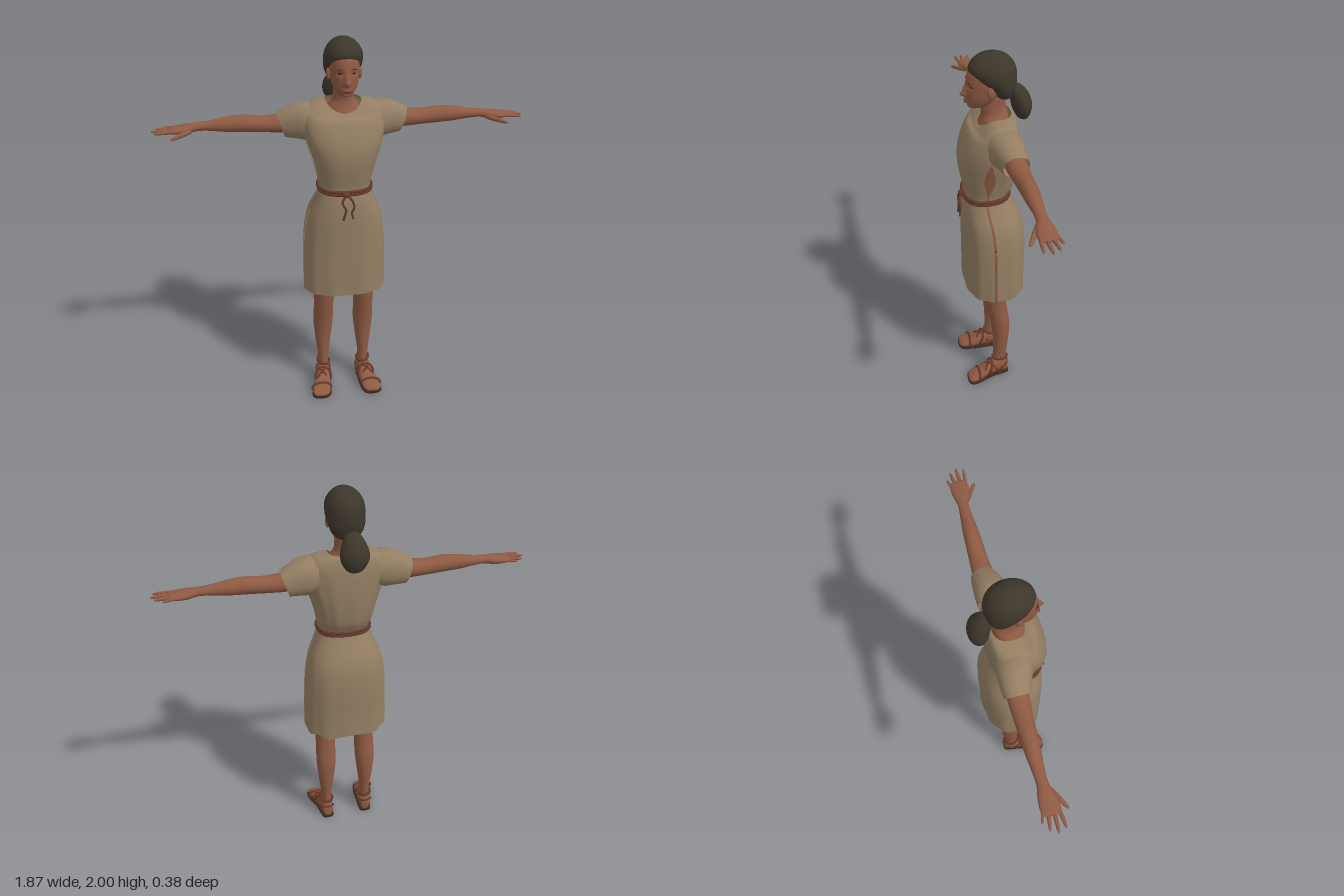
import * as THREE from 'three';

const mat = (name, color, double) => {
  const m = new THREE.MeshStandardMaterial({ color });
  m.name = name;
  if (double) m.side = THREE.DoubleSide;
  return m;
};

// Smooth interpolation through table rows
function sampleRow(rows, u) {
  const i = Math.min(Math.floor(u), rows.length - 2), f = u - i;
  const at = k => rows[Math.max(0, Math.min(rows.length - 1, k))];
  return rows[i].map((_, c) => {
    const a = at(i - 1)[c], b = at(i)[c], d = at(i + 1)[c], e = at(i + 2)[c];
    return b + 0.5 * f * (d - a + f * (2 * a - 5 * b + 4 * d - e + f * (3 * (b - d) + e - a)));
  });
}

// Loft of rounded sections; each row is [position on axis, min a, max a, min b, max b]
// axis y: a = x, b = z;  axis x: a = y, b = z;  axis z: a = x, b = y
function loft(rows, { axis = 'y', n = 24, sub = 4, p = 2, range = null, cap = true, warp = null } = {}) {
  const pos = [], idx = [], steps = (rows.length - 1) * sub;
  const cols = range ? n + 1 : n;
  const se = v => Math.sign(v) * Math.abs(v) ** (2 / p);
  const place = (t, a, b) => axis === 'y' ? new THREE.Vector3(a, t, b)
    : axis === 'x' ? new THREE.Vector3(t, a, b) : new THREE.Vector3(a, b, t);
  const flip = axis === 'y' ? 1 : -1;
  for (let i = 0; i <= steps; i++) {
    const [t, a0, a1, b0, b1] = sampleRow(rows, i / sub);
    const [s, e] = range ? range(t) : [0, Math.PI * 2];
    for (let j = 0; j < cols; j++) {
      const q = s + (e - s) * j / n;
      const v = place(t, (a0 + a1) / 2 + (a1 - a0) / 2 * se(Math.cos(q)),
        (b0 + b1) / 2 + flip * (b1 - b0) / 2 * se(Math.sin(q)));
      if (warp) warp(v, q, t);
      pos.push(v.x, v.y, v.z);
    }
  }
  for (let i = 0; i < steps; i++) for (let j = 0; j < n; j++) {
    const k = (j + 1) % cols, a = i * cols, b = a + cols;
    idx.push(a + j, b + j, a + k, b + j, b + k, a + k);
  }
  if (cap) [0, steps].forEach(i => {
    const r = rows[i ? rows.length - 1 : 0], c = pos.length / 3;
    pos.push(...place(r[0], (r[1] + r[2]) / 2, (r[3] + r[4]) / 2).toArray());
    for (let j = 0; j < n; j++) {
      const a = i * cols + j, b = i * cols + (j + 1) % cols;
      if (i) idx.push(a, c, b); else idx.push(b, c, a);
    }
  });
  const g = new THREE.BufferGeometry();
  g.setAttribute('position', new THREE.Float32BufferAttribute(pos, 3));
  g.setIndex(idx);
  g.computeVertexNormals();
  return g;
}

const sym = (y, rx, back, front) => [y, -rx, rx, back, front];

function mirrored(geo) {
  const g = geo.clone().scale(-1, 1, 1), ix = g.index.array;
  for (let i = 0; i < ix.length; i += 3) [ix[i], ix[i + 1]] = [ix[i + 1], ix[i]];
  return g;
}

const blob = (x, y, z, rx, ry, rz) => new THREE.SphereGeometry(1, 20, 14).scale(rx, ry, rz).translate(x, y, z);
const cord = (pts, r, closed = false) => new THREE.TubeGeometry(
  new THREE.CatmullRomCurve3(pts.map(q => new THREE.Vector3(...q)), closed), closed ? 48 : 20, r, 6, closed);
const loop = (f, r) => cord(Array.from({ length: 20 }, (_, i) => f(Math.cos(i * Math.PI / 10), Math.sin(i * Math.PI / 10))), r, true);

export function createModel() {
  const root = new THREE.Group();
  const skin = mat('skin', 0x8f5a43), cloth = mat('cloth', 0x947e63, true), hair = mat('hair', 0x3d362b);
  const leather = mat('leather', 0x67392a), sole = mat('sole', 0x3f281d);
  const lip = mat('lips', 0x7a4238), eye = mat('eye', 0x2a1c16);
  const add = (name, geo, m) => {
    const mesh = new THREE.Mesh(geo, m);
    mesh.name = name;
    root.add(mesh);
  };
  const pair = (name, geo, m) => {
    add(name + 'Left', geo, m);
    add(name + 'Right', mirrored(geo), m);
  };

  // Tunic: front and back panels with open side slits
  const tunic = [
    sym(0.66, 0.22, -0.155, 0.165), sym(0.8, 0.219, -0.155, 0.165), sym(0.98, 0.211, -0.157, 0.165),
    sym(1.1, 0.19, -0.14, 0.165), sym(1.19, 0.152, -0.098, 0.16), sym(1.255, 0.13, -0.07, 0.15),
    sym(1.32, 0.143, -0.1, 0.16), sym(1.4, 0.163, -0.114, 0.174), sym(1.48, 0.186, -0.12, 0.173),
    sym(1.55, 0.203, -0.12, 0.152), sym(1.61, 0.208, -0.117, 0.122), sym(1.65, 0.197, -0.11, 0.1),
    sym(1.68, 0.155, -0.1, 0.085), sym(1.692, 0.09, -0.085, 0.07)];
  const drape = (v, q, t) => {
    const low = Math.max(0, (1.24 - t) / 0.58), front = Math.max(0, Math.sin(q));
    const ripple = 1 + low * 0.014 * Math.sin(11 * q) + (t > 1.28 && t < 1.6 && q > Math.PI ? 0.014 * Math.sin(14 * q) : 0);
    v.x *= ripple;
    v.z *= ripple;
    v.y -= 0.05 * front ** 2 * THREE.MathUtils.smoothstep(t, 1.6, 1.692); // scooped neckline
    if (t < 0.7 && q > Math.PI) v.y += 0.008 * Math.sin(7 * q);
  };
  const gap = y => y > 1.5 ? 0 : y > 1.3 ? 0.11 * Math.sin((y - 1.3) / 0.2 * Math.PI) + 0.03 : 0.035;
  const panel = { n: 44, p: 2.5, cap: false, warp: drape };
  add('tunicFront', loft(tunic, { ...panel, range: y => [0.12 + gap(y), Math.PI - 0.12 - gap(y)] }), cloth);
  add('tunicBack', loft(tunic, { ...panel, range: y => [Math.PI - 0.12 + gap(y), Math.PI * 2 + 0.12 - gap(y)] }), cloth);

  // Sleeves
  pair('sleeve', loft([
    [0.15, 1.5, 1.675, -0.105, 0.08], [0.2, 1.49, 1.678, -0.108, 0.065],
    [0.25, 1.495, 1.66, -0.106, 0.045], [0.31, 1.5, 1.628, -0.102, 0.022]],
  { axis: 'x', n: 28, p: 2.2, cap: false, warp: (v, q, t) => { v.x += (v.y - 1.57) * 0.3 * (t - 0.15) / 0.16; } }), cloth);

  // Body under the tunic
  add('torso', loft(tunic.filter(r => r[0] > 0.9 && r[0] < 1.6)
    .map(([y, , rx, b, f]) => sym(y, rx - 0.016, b + 0.018, f - 0.018)), { n: 32, p: 2.4 }), skin);
  add('neck', loft([
    sym(1.56, 0.12, -0.08, 0.1), sym(1.62, 0.1, -0.08, 0.086), sym(1.645, 0.089, -0.077, 0.072),
    sym(1.67, 0.076, -0.075, 0.063), sym(1.695, 0.056, -0.07, 0.058), sym(1.73, 0.049, -0.06, 0.06),
    sym(1.79, 0.05, -0.06, 0.06)]), skin);

  // Head with sculpted nose, eye sockets, mouth and cheeks
  const bump = (v, x, y, sx, sy) => Math.exp(-(((v.x - x) / sx) ** 2) - ((v.y - y) / sy) ** 2);
  const face = v => {
    if (v.z < 0.05) return;
    v.z += 0.026 * bump(v, 0, 1.803, 0.013, 0.014) + 0.014 * bump(v, 0, 1.828, 0.01, 0.022)
      + 0.009 * bump(v, 0, 1.766, 0.022, 0.012) - 0.005 * bump(v, 0, 1.752, 0.02, 0.006)
      - 0.009 * (bump(v, 0.031, 1.847, 0.016, 0.011) + bump(v, -0.031, 1.847, 0.016, 0.011));
  };
  add('head', loft([
    sym(1.732, 0.012, 0.07, 0.105), sym(1.737, 0.03, 0.04, 0.12), sym(1.755, 0.047, 0, 0.126),
    sym(1.785, 0.062, -0.03, 0.129), sym(1.825, 0.071, -0.06, 0.13), sym(1.87, 0.075, -0.08, 0.128),
    sym(1.91, 0.073, -0.08, 0.118), sym(1.945, 0.06, -0.07, 0.09), sym(1.97, 0.03, -0.03, 0.04)],
  { n: 72, sub: 8, warp: face }), skin);
  pair('ear', blob(0.077, 1.828, 0.028, 0.011, 0.029, 0.017), skin);
  pair('eye', blob(0.031, 1.847, 0.111, 0.012, 0.0045, 0.005), eye);
  pair('eyebrow', blob(0.032, 1.868, 0.118, 0.017, 0.0028, 0.005), hair);
  add('lips', blob(0, 1.766, 0.132, 0.021, 0.007, 0.0085), lip);

  // Hair and ponytail
  add('hair', loft([
    sym(1.768, 0.035, -0.075, -0.03), sym(1.79, 0.068, -0.095, 0), sym(1.83, 0.087, -0.108, 0.03),
    sym(1.87, 0.095, -0.113, 0.085), sym(1.91, 0.095, -0.11, 0.113), sym(1.94, 0.087, -0.1, 0.113),
    sym(1.97, 0.067, -0.077, 0.088), sym(1.99, 0.04, -0.045, 0.058), sym(2, 0.006, -0.002, 0.012)],
  { n: 40 }), hair);
  add('ponytail', loft([
    [1.636, -0.025, 0, -0.16, -0.145], [1.648, -0.052, 0.028, -0.178, -0.122], [1.69, -0.08, 0.054, -0.192, -0.1],
    [1.735, -0.083, 0.057, -0.19, -0.09], [1.78, -0.065, 0.042, -0.17, -0.082], [1.81, -0.045, 0.022, -0.142, -0.08],
    [1.822, -0.02, 0, -0.115, -0.09]], { n: 28 }), hair);

  // Arms and hands
  pair('arm', loft([
    [0.18, 1.53, 1.635, -0.085, 0.015], [0.3, 1.525, 1.62, -0.09, 0.014], [0.4, 1.53, 1.612, -0.086, 0.005],
    [0.5, 1.535, 1.621, -0.082, 0], [0.58, 1.54, 1.614, -0.078, -0.005], [0.66, 1.55, 1.6, -0.07, -0.012],
    [0.72, 1.552, 1.594, -0.066, -0.012], [0.77, 1.543, 1.59, -0.076, 0.004], [0.82, 1.546, 1.582, -0.08, 0.012],
    [0.85, 1.552, 1.577, -0.075, 0.008], [0.86, 1.56, 1.57, -0.06, 0]], { axis: 'x' }), skin);
  const finger = (x0, y0, z0, x1, y1, z1, r) => loft(
    [[0, 0.9], [0.35, 1], [0.7, 0.85], [0.93, 0.6], [1, 0.15]].map(([k, s]) => {
      const y = y0 + (y1 - y0) * k, z = z0 + (z1 - z0) * k;
      return [x0 + (x1 - x0) * k, y - r * s, y + r * s, z - r * s, z + r * s];
    }), { axis: 'x', n: 10, sub: 2 });
  [[-0.067, 0.882, -0.085, 0.008], [-0.046, 0.92, -0.06, 0.0095], [-0.022, 0.937, -0.026, 0.01], [0, 0.924, 0.01, 0.0095]]
    .forEach(([z0, x1, z1, r], i) => pair('finger' + (i + 1), finger(0.825, 1.565, z0, x1, 1.562, z1, r), skin));
  pair('thumb', finger(0.745, 1.56, -0.012, 0.845, 1.54, 0.045, 0.013), skin);

  // Legs and feet
  pair('leg', loft([
    [0.07, 0.086, 0.146, -0.055, 0.035], [0.13, 0.087, 0.143, -0.05, 0.026], [0.2, 0.083, 0.148, -0.055, 0.026],
    [0.3, 0.07, 0.16, -0.064, 0.028], [0.41, 0.058, 0.168, -0.067, 0.04], [0.52, 0.057, 0.165, -0.052, 0.06],
    [0.6, 0.05, 0.168, -0.045, 0.074], [0.7, 0.038, 0.176, -0.05, 0.087], [0.98, 0.005, 0.19, -0.1, 0.11]]), skin);
  const foot = [
    [-0.061, 0.1, 0.125, 0.02, 0.05], [-0.053, 0.088, 0.14, 0.008, 0.09], [-0.02, 0.083, 0.148, 0.008, 0.118],
    [0.03, 0.086, 0.156, 0.008, 0.108], [0.08, 0.086, 0.174, 0.008, 0.078], [0.12, 0.09, 0.189, 0.008, 0.056],
    [0.155, 0.097, 0.194, 0.008, 0.042], [0.175, 0.11, 0.184, 0.01, 0.032], [0.182, 0.13, 0.165, 0.016, 0.024]];
  pair('foot', loft(foot, { axis: 'z', p: 2.3 }), skin);
  pair('sandalSole', loft(foot.map(([z, a, b]) => [z * 1.02, a - 0.005, b + 0.005, 0, 0.015]), { axis: 'z', p: 5 }), sole);

  // Sandal straps
  pair('ankleStrap', loop((c, s) => [0.115 + 0.034 * c, 0.122 + 0.006 * c, -0.013 + 0.043 * s], 0.007), leather);
  pair('instepStrap', loop((c, s) => [0.125 + 0.044 * c, 0.055 + 0.048 * s, 0.055 - 0.02 * s], 0.007), leather);
  pair('toeStrap', loop((c, s) => [0.143 + 0.053 * c, 0.032 + 0.026 * s, 0.125 - 0.008 * s], 0.007), leather);
  pair('crossStrapOuter', cord([[0.09, 0.02, 0.1], [0.115, 0.08, 0.072], [0.14, 0.098, 0.045], [0.158, 0.05, 0.01]], 0.006), leather);
  pair('crossStrapInner', cord([[0.182, 0.02, 0.1], [0.15, 0.08, 0.075], [0.11, 0.1, 0.045], [0.083, 0.05, 0.01]], 0.006), leather);
  pair('heelStrap', cord([[0.15, 0.03, 0.01], [0.15, 0.07, -0.035], [0.114, 0.082, -0.058], [0.08, 0.07, -0.035], [0.08, 0.03, 0.01]], 0.006), leather);

  // Rope belt with knot and hanging ends
  const bend = v => Math.sign(v) * Math.abs(v) ** 0.8;
  [0.007, -0.007].forEach((dy, i) => add('beltCord' + (i + 1),
    loop((c, s) => [0.136 * bend(c), 1.255 + dy - 0.004 * s, 0.04 + 0.117 * bend(s)], 0.008), leather));
  add('beltKnot', blob(-0.008, 1.247, 0.165, 0.02, 0.014, 0.014), leather);
  add('beltEndRight', cord([[-0.012, 1.245, 0.17], [-0.03, 1.21, 0.177], [-0.012, 1.17, 0.178], [-0.026, 1.115, 0.18]], 0.006), leather);
  add('beltEndLeft', cord([[0, 1.245, 0.17], [0.022, 1.215, 0.177], [0.03, 1.18, 0.178], [0.018, 1.155, 0.178], [0.026, 1.12, 0.18]], 0.006), leather);

  return root;
}
